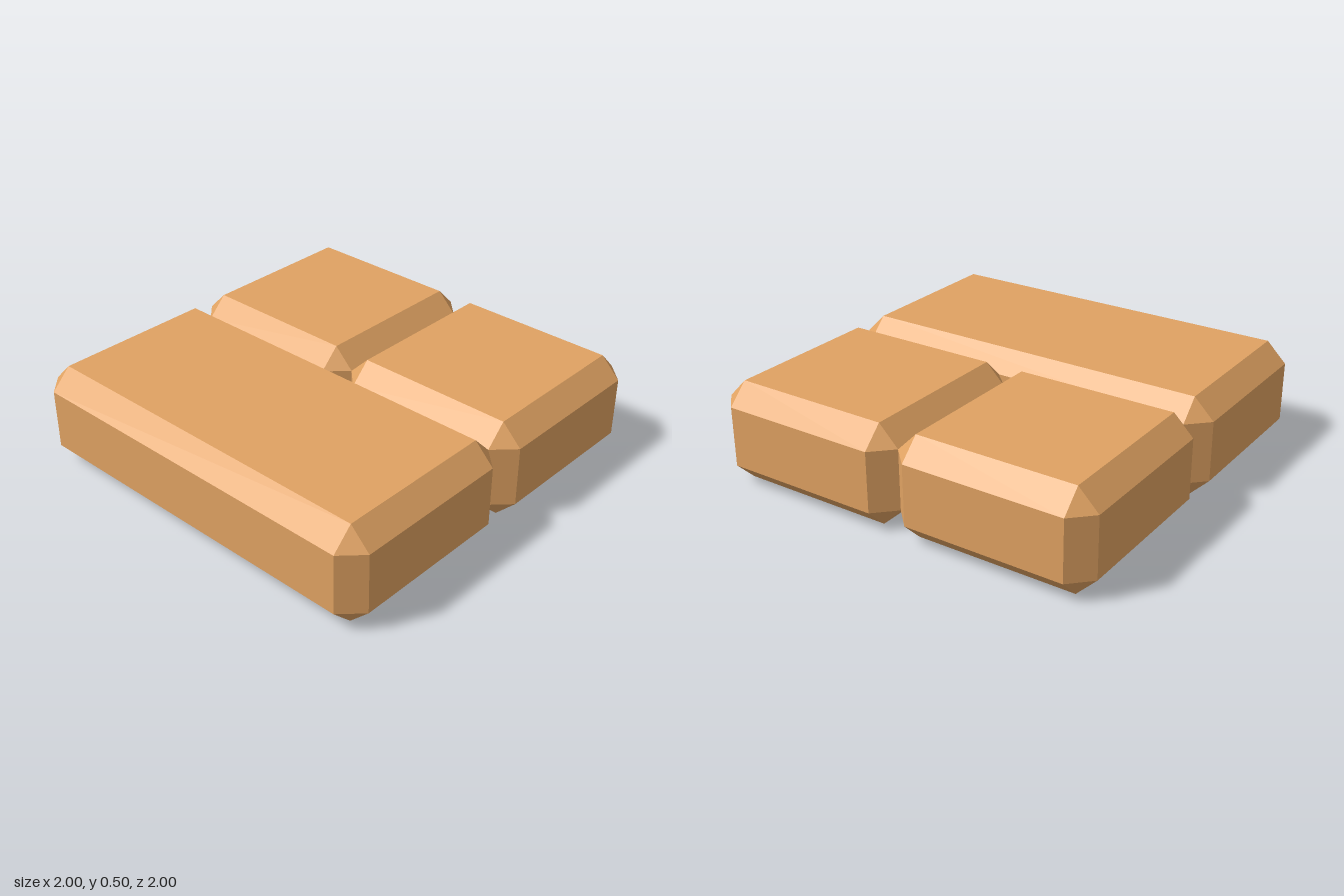
import * as THREE from 'three';
import { ConvexGeometry } from 'three/addons/geometries/ConvexGeometry.js';

const BEVEL = 0.1;
const HEIGHT = 0.5;

// Box with every edge cut at 45 degrees and a triangle at each corner
function chamferedBox(width, height, depth, bevel) {
  const half = [width / 2, height / 2, depth / 2];
  const points = [];
  for (const sx of [-1, 1]) for (const sy of [-1, 1]) for (const sz of [-1, 1]) {
    for (let axis = 0; axis < 3; axis++) {
      const [x, y, z] = half.map((h, i) => (i === axis ? h : h - bevel));
      points.push(new THREE.Vector3(sx * x, sy * y, sz * z));
    }
  }
  return new ConvexGeometry(points);
}

export function createModel() {
  const model = new THREE.Group();
  model.name = 'pavingBricks';

  const clay = new THREE.MeshStandardMaterial({ color: 0xe0a262, flatShading: true });
  clay.name = 'tan clay';

  function addBrick(name, width, depth, x, z) {
    const brick = new THREE.Mesh(chamferedBox(width, HEIGHT, depth, BEVEL), clay);
    brick.name = name;
    brick.position.set(x, HEIGHT / 2, z);
    model.add(brick);
  }

  // One long brick in front, two square bricks behind it
  addBrick('frontBrick', 2, 1, 0, 0.5);
  addBrick('backLeftBrick', 1, 1, 0.5, -0.5);
  addBrick('backRightBrick', 1, 1, -0.5, -0.5);

  return model;
}
